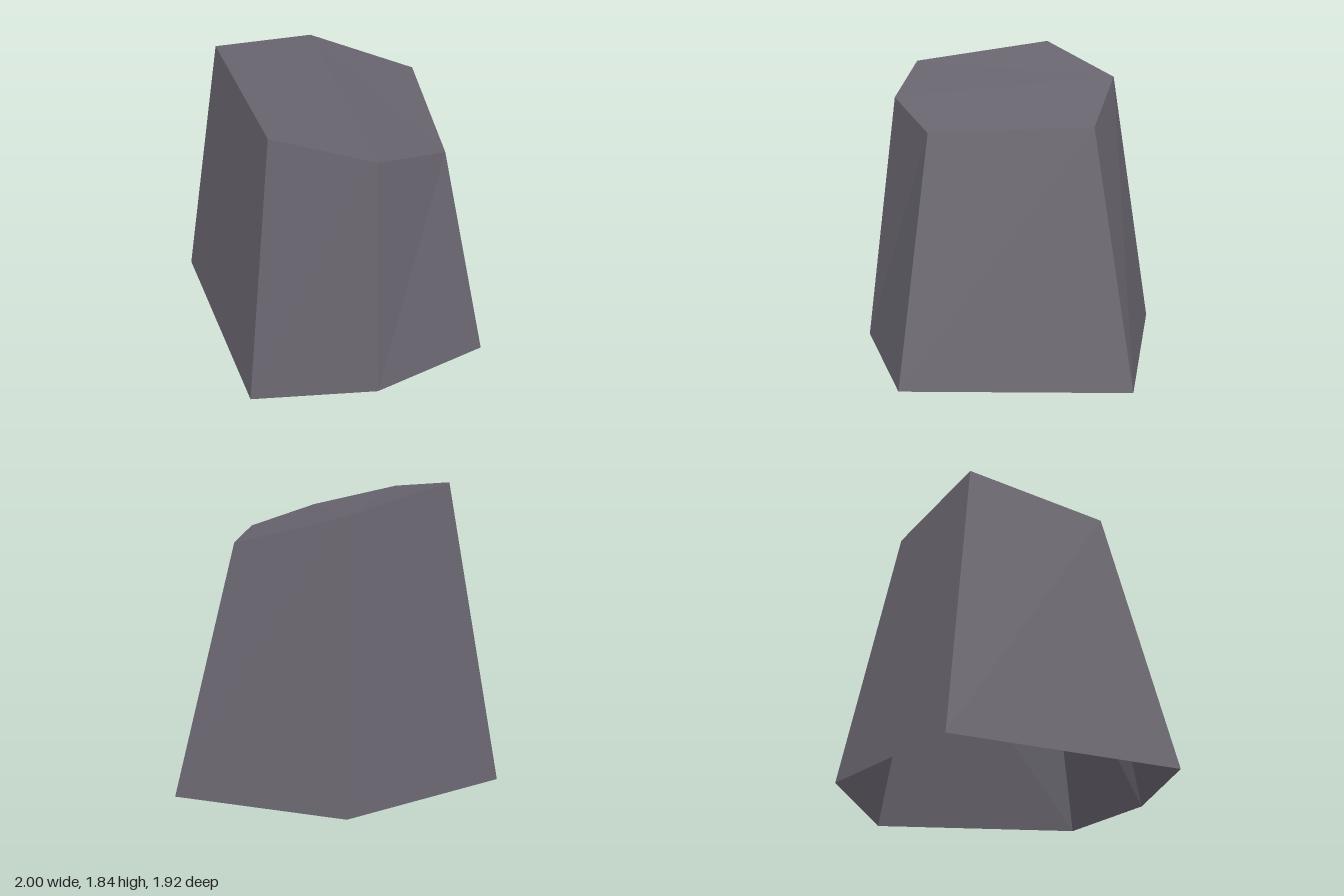
import * as THREE from 'three';

// Lower and upper rims of the six-sided stump, listed counterclockwise from above
const base = [
  [0.02, 0, -0.965], [-1, 0, -0.57], [-0.815, 0, 0.8],
  [-0.03, 0, 0.96], [0.74, 0, 0.805], [1, 0, -0.545],
];
const rim = [
  [-0.015, 1.685, -0.67], [-0.675, 1.84, -0.38], [-0.555, 1.742, 0.545],
  [0, 1.602, 0.725], [0.46, 1.477, 0.565], [0.6, 1.505, -0.375],
];

function mesh(name, corners, material) {
  const geometry = new THREE.BufferGeometry();
  geometry.setAttribute('position', new THREE.Float32BufferAttribute(corners.flat(), 3));
  geometry.computeVertexNormals();
  const part = new THREE.Mesh(geometry, material);
  part.name = name;
  return part;
}

export function createModel() {
  const group = new THREE.Group();
  group.name = 'rockStump';
  const stone = new THREE.MeshStandardMaterial({
    name: 'grey stone', color: 0x68646e, flatShading: true, side: THREE.DoubleSide,
  });

  // Tapering walls, open underneath
  const walls = [];
  for (let i = 0; i < 6; i++) {
    const j = (i + 1) % 6;
    walls.push(base[i], base[j], rim[j], base[i], rim[j], rim[i]);
  }
  group.add(mesh('walls', walls, stone));

  // Slanted top
  const top = [];
  for (let i = 1; i < 5; i++) top.push(rim[0], rim[i], rim[i + 1]);
  group.add(mesh('slantedTop', top, stone));

  return group;
}
